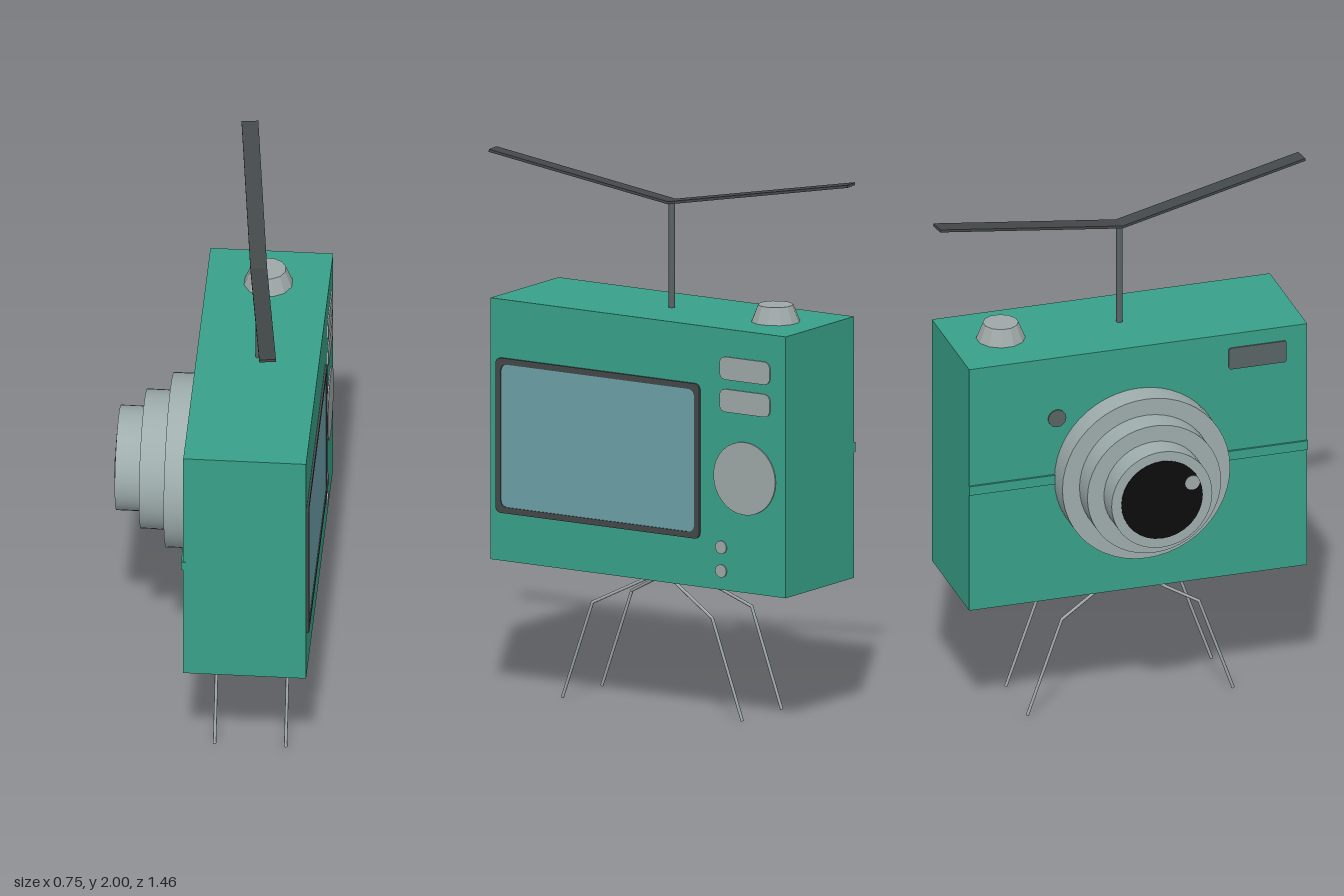
import * as THREE from 'three';

const paint = (name, color) => {
  const m = new THREE.MeshStandardMaterial({ color });
  m.name = name;
  return m;
};

export function createModel() {
  const green = paint('body green', 0x38a189);
  const silver = paint('lens silver', 0x9fadad);
  const grey = paint('button grey', 0x9fa8a8);
  const charcoal = paint('charcoal', 0x434848);
  const slate = paint('slate', 0x5a6464);
  const blue = paint('screen blue', 0x6ca0a8);
  const black = paint('lens black', 0x0c0c0c);

  const model = new THREE.Group();
  model.name = 'cameraCreature';
  const add = (name, geometry, material, x = 0, y = 0, z = 0) => {
    const mesh = new THREE.Mesh(geometry, material);
    mesh.name = name;
    mesh.position.set(x, y, z);
    model.add(mesh);
    return mesh;
  };

  // Centred rectangle with cut or rounded corners
  const roundRect = (w, h, r, Type = THREE.Shape) => {
    const s = new Type(), a = w / 2, b = h / 2;
    s.moveTo(-a + r, -b);
    s.lineTo(a - r, -b);
    s.quadraticCurveTo(a, -b, a, -b + r);
    s.lineTo(a, b - r);
    s.quadraticCurveTo(a, b, a - r, b);
    s.lineTo(-a + r, b);
    s.quadraticCurveTo(-a, b, -a, b - r);
    s.lineTo(-a, -b + r);
    s.quadraticCurveTo(-a, -b, -a + r, -b);
    return s;
  };
  const disc = (r) => new THREE.Shape().absarc(0, 0, r, 0, Math.PI * 2);

  // Thin plate on a side face; side +1 faces +x, -1 faces -x
  const plate = (name, shape, material, side, x, y, z, depth = 0.005) => {
    const g = new THREE.ExtrudeGeometry(shape, { depth, bevelEnabled: false, curveSegments: 16 });
    g.rotateY(side * Math.PI / 2);
    return add(name, g, material, x, y, z);
  };

  // Body and the raised band across the lens side
  const front = 0.365, back = -0.083, top = 1.473;
  add('body', new THREE.BoxGeometry(front - back, 0.97, 1.29), green, (front + back) / 2, 0.988, 0);
  add('band', new THREE.BoxGeometry(0.016, 0.036, 1.292), green, back, 0.987, 0);

  // Stepped lens
  [[0.32, -0.18, back], [0.255, -0.275, -0.18], [0.192, -0.368, -0.275]].forEach(([r, x0, x1], i) => {
    const g = new THREE.CylinderGeometry(r, r, x1 - x0, 48);
    g.rotateZ(Math.PI / 2);
    add('lensRing' + (i + 1), g, silver, (x0 + x1) / 2, 0.986, 0);
  });
  plate('lensGlass', disc(0.155), black, -1, -0.368, 0.986, 0, 0.003);
  plate('lensGlint', disc(0.028), grey, -1, -0.371, 1.04, 0.115, 0.002);

  // Viewfinder and sensor on the lens side
  plate('viewfinder', roundRect(0.22, 0.085, 0.01), slate, -1, back, 1.375, 0.455);
  plate('sensor', disc(0.034), slate, -1, back, 1.23, -0.31);

  // Screen with its frame
  const frame = roundRect(0.89, 0.575, 0.025);
  frame.holes.push(roundRect(0.845, 0.53, 0.03, THREE.Path));
  plate('screenFrame', frame, charcoal, 1, front, 0.969, 0.173, 0.008);
  plate('screen', roundRect(0.86, 0.545, 0.02), blue, 1, front, 0.969, 0.173, 0.004);

  // Buttons beside the screen
  for (const y of [1.328, 1.208]) plate('barButton', roundRect(0.22, 0.085, 0.03), grey, 1, front, y, -0.468);
  plate('dial', disc(0.135), grey, 1, front, 0.927, -0.467);
  for (const y of [0.661, 0.573]) plate('smallButton', disc(0.024), grey, 1, front, y, -0.364);

  // Shutter button
  const shutter = new THREE.CylinderGeometry(0.065, 0.09, 0.062, 12);
  shutter.rotateY(Math.PI / 12);
  add('shutterButton', shutter.toNonIndexed(), grey, 0.143, top + 0.031, -0.453).geometry.computeVertexNormals();

  // Antenna pole with two slanted arms
  add('antennaPole', new THREE.CylinderGeometry(0.012, 0.012, 0.39, 16), slate, 0.143, top + 0.195, 0);
  const armRise = 0.128, armRun = 0.73;
  for (const s of [1, -1]) {
    const g = new THREE.BoxGeometry(0.061, 0.01, Math.hypot(armRise, armRun));
    g.rotateX(-s * Math.atan2(armRise, armRun));
    g.translate(0, armRise / 2, s * armRun / 2);
    g.rotateY(Math.atan2(0.088, 0.725));
    add('antennaArm', g, charcoal, 0.143, 1.865, 0);
  }

  // Wire legs: each bends at the knee
  const up = new THREE.Vector3(0, 1, 0);
  const wire = (name, a, b) => {
    const d = b.clone().sub(a);
    const mesh = add(name, new THREE.CylinderGeometry(0.006, 0.006, d.length(), 8), grey);
    mesh.position.copy(a).addScaledVector(d, 0.5);
    mesh.quaternion.setFromUnitVectors(up, d.normalize());
  };
  for (const [hipX, footX] of [[0.088, 0.012], [0.2, 0.271]]) {
    for (const s of [1, -1]) {
      const knee = new THREE.Vector3(footX, 0.37, s * 0.262);
      wire('upperLeg', new THREE.Vector3(hipX, 0.504, 0), knee);
      wire('lowerLeg', knee, new THREE.Vector3(footX, 0.002, s * 0.393));
      add('knee', new THREE.SphereGeometry(0.006, 8, 6), grey, knee.x, knee.y, knee.z);
    }
  }
  return model;
}
